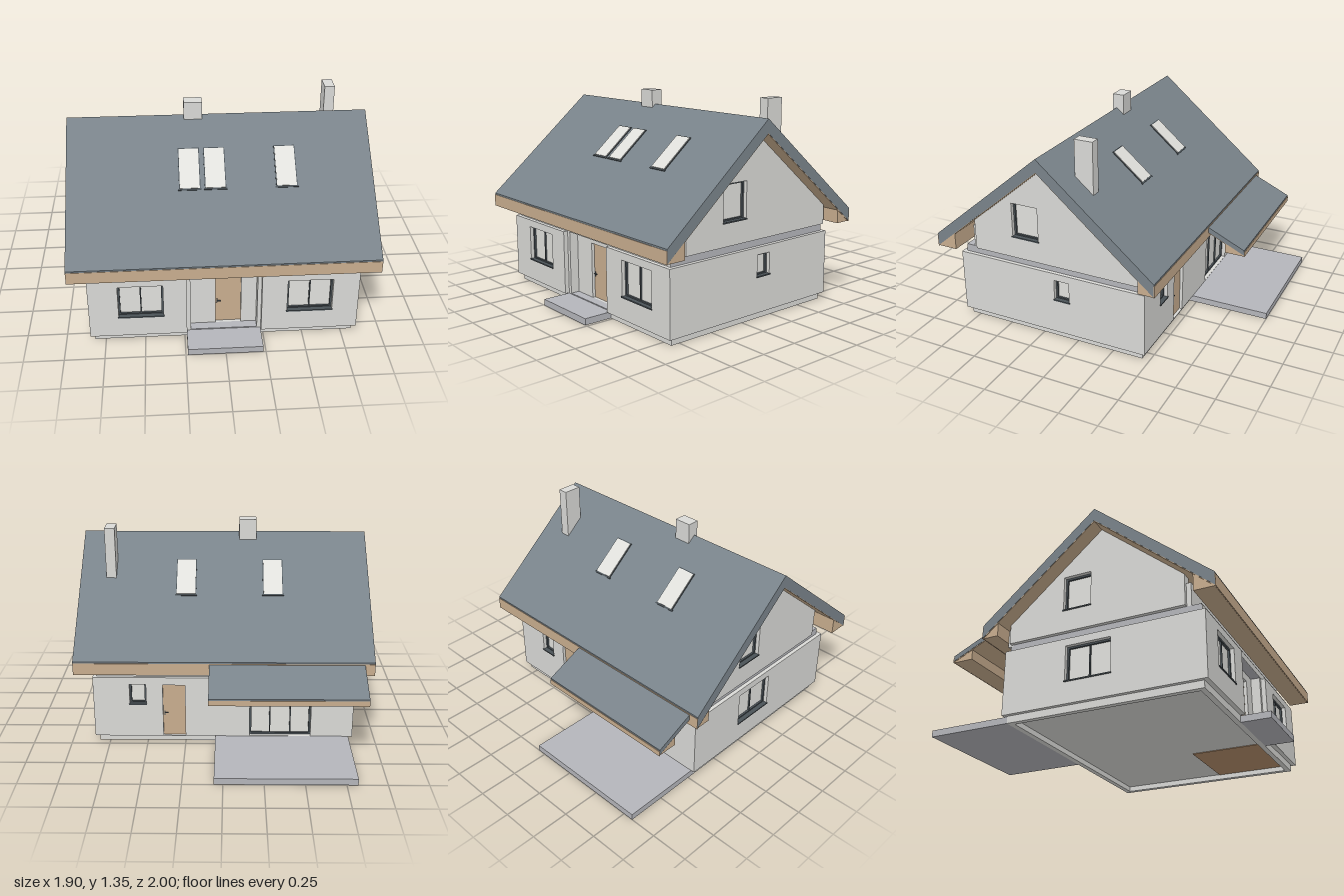
import * as THREE from 'three';

const mat = (name, color) => Object.assign(new THREE.MeshStandardMaterial({ color }), { name });

export function createModel() {
  const M = {
    wall: mat('wall render', 0xd9d9d6),
    slab: mat('concrete', 0xb4b5ba),
    roof: mat('roof slate', 0x79838a),
    wood: mat('wood', 0xc8ad8e),
    floor: mat('wood floor', 0xb58f6c),
    frame: mat('dark frame', 0x4a5257),
    glass: mat('glass', 0xe0e0dc),
  };
  const house = new THREE.Group();
  house.name = 'house';

  const add = (parent, name, geo, m) => {
    const mesh = new THREE.Mesh(geo, m);
    mesh.name = name;
    parent.add(mesh);
    return mesh;
  };
  // box given by its extents
  const box = (parent, name, m, x0, x1, y0, y1, z0, z1) => {
    const mesh = add(parent, name, new THREE.BoxGeometry(x1 - x0, y1 - y0, z1 - z0), m);
    mesh.position.set((x0 + x1) / 2, (y0 + y1) / 2, (z0 + z1) / 2);
    return mesh;
  };
  const poly = pts => new THREE.Shape(pts.map(p => new THREE.Vector2(...p)));
  const rect = (x0, x1, y0, y1) => [[x0, y0], [x1, y0], [x1, y1], [x0, y1]];
  const extrude = (shape, depth) => new THREE.ExtrudeGeometry(shape, { depth, bevelEnabled: false });
  // (z, y) cross-section swept along x
  const prism = (name, m, pts, x0, x1) => {
    const g = extrude(poly(pts), x1 - x0).rotateY(-Math.PI / 2).translate(x1, 0, 0);
    return add(house, name, g, m);
  };

  // window or door filling an opening; local z = 0 is the outer wall face
  const fill = (parent, { x0, x1, y0, y1, panes = 1, door, handle }) => {
    const g = new THREE.Group();
    g.name = door ? 'door' : 'window';
    parent.add(g);
    if (door) {
      box(g, 'doorLeaf', M.wood, x0, x1, y0, y1, -0.04, -0.02);
      const s = handle < (x0 + x1) / 2 ? 1 : -1;
      box(g, 'doorHandlePlate', M.frame, handle - 0.004, handle + 0.004, 0.19, 0.22, -0.02, -0.016);
      const a = handle, b = handle + s * 0.024;
      box(g, 'doorHandle', M.frame, Math.min(a, b), Math.max(a, b), 0.206, 0.211, -0.016, -0.008);
      return;
    }
    const t = 0.012, ring = poly(rect(x0, x1, y0, y1));
    ring.holes.push(poly(rect(x0 + t, x1 - t, y0 + t, y1 - t)));
    add(g, 'windowFrame', extrude(ring, 0.025), M.frame).position.z = -0.05;
    box(g, 'windowGlass', M.glass, x0 + t, x1 - t, y0 + t, y1 - t, -0.045, -0.038);
    for (let i = 1; i < panes; i++) {
      const x = x0 + (x1 - x0) * i / panes;
      box(g, 'windowMullion', M.frame, x - 0.004, x + 0.004, y0 + t, y1 - t, -0.045, -0.028);
    }
    if (y0 > 0.1) box(g, 'windowSill', M.frame, x0 - 0.005, x1 + 0.005, y0 - 0.004, y0 + 0.004, -0.03, 0.006);
  };

  // wall panel with openings, facing local +z
  const T = 0.06;
  const wall = (name, outline, openings, x, z, turn) => {
    const g = new THREE.Group();
    g.name = name;
    g.position.set(x, 0, z);
    g.rotation.y = turn;
    house.add(g);
    const shape = poly(outline);
    for (const o of openings) {
      shape.holes.push(poly(rect(o.x0, o.x1, o.y0, o.y1)));
      fill(g, o);
    }
    add(g, name + 'Panel', extrude(shape, T), M.wall).position.z = -T;
  };
  const open = (x0, x1, y0, y1, extra) => ({ x0, x1, y0, y1, ...extra });
  const Y0 = 0.045, Y1 = 0.465, DY = 0.047;

  // ground floor walls
  wall('frontWallRight', rect(-0.845, -0.235, Y0, Y1), [open(-0.66, -0.38, 0.187, 0.417, { panes: 2 })], 0, 0.84, 0);
  wall('frontWallLeft', rect(0.235, 0.845, Y0, Y1), [open(0.395, 0.68, 0.187, 0.417, { panes: 2 })], 0, 0.84, 0);
  wall('entranceWall', rect(-0.24, 0.24, Y0, Y1),
    [open(-0.05, 0.112, DY, 0.412, { door: true, handle: -0.04 })], 0, 0.75, 0);
  wall('backWall', rect(-0.845, 0.845, Y0, Y1), [
    open(-0.61, -0.503, 0.275, 0.417),
    open(-0.395, -0.25, DY, 0.412, { door: true, handle: -0.385 }),
    open(0.17, 0.57, DY, 0.417, { panes: 3 }),
  ], 0, -0.475, Math.PI);
  wall('leftWall', rect(-0.78, 0.415, Y0, Y1), [open(-0.15, -0.045, 0.277, 0.417)], 0.845, 0, Math.PI / 2);
  wall('rightWall', rect(-0.415, 0.78, Y0, Y1), [open(-0.05, 0.25, 0.187, 0.417, { panes: 2 })], -0.845, 0, -Math.PI / 2);
  for (const s of [-1, 1]) {
    const a = s * 0.21, b = s * 0.27;
    box(house, 'entranceReturn', M.wall, Math.min(a, b), Math.max(a, b), Y0, Y1, 0.7, 0.81);
  }

  // gables and knee walls
  const gable = [[-0.45, 0.515], [0.72, 0.515], [0.72, 0.715], [0.18, 1.17], [-0.45, 0.64]];
  wall('leftGable', gable.map(([z, y]) => [-z, y]).reverse(), [open(-0.435, -0.25, 0.66, 0.89)], 0.845, 0, Math.PI / 2);
  wall('rightGable', gable, [open(-0.075, 0.11, 0.66, 0.89)], -0.845, 0, -Math.PI / 2);
  box(house, 'frontKneeWall', M.wall, -0.82, 0.82, 0.515, 0.665, 0.7, 0.75);
  box(house, 'backKneeWall', M.wall, -0.82, 0.82, 0.505, 0.62, -0.475, -0.44);

  // upper floor slab with rendered front and back edges
  box(house, 'upperFloorSlab', M.slab, -0.82, 0.82, 0.465, 0.515, -0.45, 0.81);
  box(house, 'frontSlabEdge', M.wall, -0.82, 0.82, 0.465, 0.507, 0.81, 0.814);
  box(house, 'backSlabEdge', M.wall, -0.82, 0.82, 0.465, 0.507, -0.454, -0.45);

  // plinth ring, floor, entrance step and terrace
  const ring = poly(rect(-0.82, 0.82, -0.81, 0.45));
  ring.holes.push(poly(rect(-0.785, 0.785, -0.775, 0.415)));
  add(house, 'plinth', extrude(ring, 0.046).rotateX(-Math.PI / 2), M.wall);
  box(house, 'groundFloor', M.wall, -0.8, 0.8, 0.034, 0.05, -0.43, 0.73);
  box(house, 'groundFloorFront', M.wall, -0.8, 0.8, 0.034, 0.044, 0.73, 0.79);
  box(house, 'woodFloor', M.floor, 0.27, 0.78, 0.03, 0.035, 0.3, 0.77);
  box(house, 'entranceStep', M.slab, -0.237, 0.233, 0, 0.042, 0.81, 1);
  box(house, 'entranceFloor', M.slab, -0.21, 0.21, 0.04, 0.048, 0.75, 0.81);
  box(house, 'terrace', M.slab, -0.82, 0.055, 0, 0.042, -1, -0.45);

  // main roof with wooden lining, fascias and boxed eaves
  prism('mainRoof', M.roof, [[0.94, 0.535], [0.94, 0.62], [0.18, 1.26], [-0.58, 0.62], [-0.58, 0.535], [0.18, 1.175]], -0.95, 0.946);
  prism('roofLining', M.wood, [[0.938, 0.537], [0.18, 1.176], [-0.578, 0.537], [-0.578, 0.531], [0.18, 1.17], [0.938, 0.531]], -0.948, 0.944);
  box(house, 'frontFascia', M.wood, -0.95, 0.946, 0.532, 0.61, 0.938, 0.943);
  box(house, 'backFascia', M.wood, -0.95, 0.946, 0.532, 0.61, -0.583, -0.578);
  prism('frontEaveBox', M.wood, [[0.938, 0.532], [0.938, 0.54], [0.81, 0.642], [0.81, 0.532]], -0.945, 0.941);
  prism('backEaveBox', M.wood, [[-0.578, 0.532], [-0.475, 0.532], [-0.475, 0.622], [-0.578, 0.54]], -0.945, 0.941);

  // terrace canopy
  prism('canopyRoof', M.roof, [[-0.832, 0.455], [-0.57, 0.575], [-0.57, 0.61], [-0.832, 0.49]], -0.887, 0.09);
  prism('canopyLining', M.wood, [[-0.83, 0.45], [-0.57, 0.569], [-0.57, 0.576], [-0.83, 0.457]], -0.885, 0.088);
  prism('canopyEaveBox', M.wood, [[-0.83, 0.446], [-0.7, 0.446], [-0.7, 0.515], [-0.83, 0.457]], -0.883, 0.086);
  box(house, 'canopyFascia', M.wood, -0.887, 0.09, 0.446, 0.48, -0.836, -0.831);

  // roof windows, laid along the slope
  const slope = Math.atan2(0.64, 0.76);
  const skylight = (x, side) => {
    const g = new THREE.Group();
    g.name = 'roofWindow';
    const dz = 0.2825;
    g.position.set(x, 1.26 - dz * 0.842, 0.18 + side * dz);
    g.rotation.set(slope, 0, 0);
    if (side < 0) g.rotation.set(-slope, Math.PI, 0, 'XYZ');
    house.add(g);
    box(g, 'roofWindowFrame', M.frame, -0.066, 0.066, -0.01, 0.005, -0.138, 0.138);
    box(g, 'roofWindowGlass', M.glass, -0.061, 0.061, 0.004, 0.009, -0.131, 0.131);
    box(g, 'roofWindowApron', M.frame, -0.072, 0.072, -0.01, 0.006, 0.132, 0.142);
  };
  for (const x of [-0.195, -0.037, 0.403]) skylight(x, 1);
  for (const x of [-0.32, 0.248]) skylight(x, -1);

  // chimneys
  box(house, 'ridgeChimney', M.wall, -0.215, -0.1, 1.15, 1.353, 0.128, 0.207);
  box(house, 'sideChimney', M.wall, 0.71, 0.776, 0.98, 1.353, -0.107, 0.015);

  return house;
}
